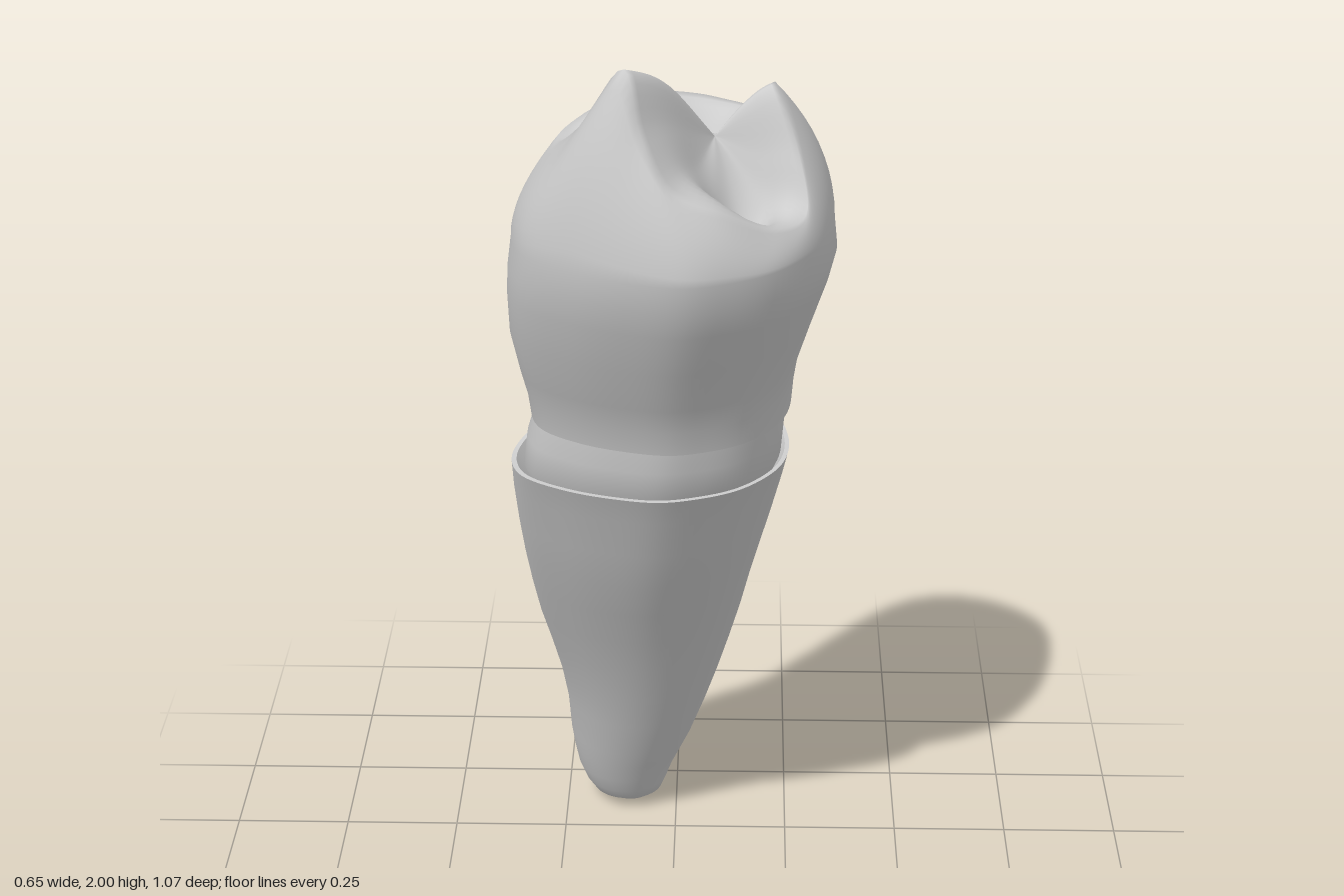
import * as THREE from 'three';

const N = 102; // points around every ring

// Widest crown outline [x, z] and, paired with it, the biting ridge [x, y, z]
const OUTLINE = [
  [-0.188, 0.455], [-0.29, 0.36], [-0.318, 0.25], [-0.295, 0.14], [-0.218, 0.033], [-0.125, -0.08],
  [-0.022, -0.163], [0.09, -0.185], [0.21, -0.145], [0.29, -0.04], [0.325, 0.1], [0.31, 0.25],
  [0.265, 0.36], [0.2, 0.45], [0.12, 0.505], [0.03, 0.535], [-0.08, 0.51],
];
const RIDGE = [
  [-0.08, 2, 0.41], [-0.163, 1.87, 0.335], [-0.21, 1.805, 0.24], [-0.21, 1.8, 0.16], [-0.14, 1.825, 0.075], [-0.045, 1.835, 0.02],
  [0.05, 1.825, 0], [0.12, 1.815, 0.015], [0.17, 1.82, 0.06], [0.2, 1.87, 0.13], [0.2, 1.91, 0.2], [0.245, 1.79, 0.262],
  [0.26, 1.69, 0.32], [0.2, 1.69, 0.4], [0.1, 1.745, 0.468], [0.005, 1.79, 0.487], [-0.05, 1.89, 0.452],
];

function sampleLoop(points) {
  const curve = new THREE.CatmullRomCurve3(points.map((p) => new THREE.Vector3(...p)), true);
  return Array.from({ length: N }, (_, j) => curve.getPoint(j / N));
}
const ridge = sampleLoop(RIDGE);
// Outline scaled to the square from -1 to 1
const unit = sampleLoop(OUTLINE.map(([x, z]) => [(x - 0.005) / 0.32, 0, (z - 0.175) / 0.36]));
const BACK = new THREE.Vector3(-0.15, 0, -0.99);

// Ring filling the box x0..x1, z0..z1; round = 1 turns the outline into an ellipse.
// The ring is lifted by rise at the back, fading towards the front by the given power
function ring([y, x0, x1, z0, z1], round = 0, rise = 0, power = 3) {
  return unit.map((u) => {
    const direction = u.clone().normalize();
    const p = u.clone().lerp(direction, round);
    return new THREE.Vector3(
      (x0 + x1) / 2 + p.x * (x1 - x0) / 2,
      y + rise * Math.max(0, (1 + direction.dot(BACK)) / 2) ** power,
      (z0 + z1) / 2 + p.z * (z1 - z0) / 2);
  });
}

// Skin rings together; a ring listed twice gives a sharp edge
function loft(rings, name, material) {
  const positions = rings.flat().flatMap((p) => [p.x, p.y, p.z]);
  const index = [];
  for (let i = 0; i < rings.length - 1; i++) {
    for (let j = 0; j < N; j++) {
      const a = i * N + j, b = i * N + (j + 1) % N;
      index.push(a, a + N, b, b, a + N, b + N);
    }
  }
  const geometry = new THREE.BufferGeometry();
  geometry.setAttribute('position', new THREE.Float32BufferAttribute(positions, 3));
  geometry.setIndex(index);
  geometry.computeVertexNormals();
  const mesh = new THREE.Mesh(geometry, material);
  mesh.name = name;
  return mesh;
}

function makeRoot(material) {
  const rows = [
    [0, -0.1, -0.1, -0.4, -0.4], [0.008, -0.155, -0.06, -0.445, -0.355], [0.03, -0.19, -0.035, -0.475, -0.32],
    [0.06, -0.21, -0.022, -0.502, -0.298], [0.1, -0.225, -0.008, -0.52, -0.275], [0.15, -0.234, 0.014, -0.53, -0.248],
    [0.2, -0.24, 0.035, -0.535, -0.22], [0.3, -0.245, 0.068, -0.528, -0.168],
    [0.4, -0.257, 0.097, -0.505, -0.115], [0.5, -0.275, 0.122, -0.47, -0.058], [0.6, -0.294, 0.145, -0.43, 0.002],
    [0.7, -0.306, 0.164, -0.388, 0.068], [0.8, -0.315, 0.185, -0.345, 0.133], [0.9, -0.321, 0.207, -0.298, 0.193],
    [1, -0.325, 0.228, -0.25, 0.247], [1.07, -0.325, 0.24, -0.205, 0.291],
  ];
  const rings = rows.map((r) => ring(r,
    THREE.MathUtils.clamp(1 - (r[0] - 0.3) / 0.75, 0.05, 1), 0.135 * (r[0] / 1.07) ** 12, 4));
  // Thin lip turning down into the socket around the neck
  const lip = ring([1.07, -0.315, 0.231, -0.196, 0.28], 0.05, 0.135, 4);
  const inside = ring([1.02, -0.285, 0.2, -0.175, 0.23], 0.05, 0.12, 4);
  const rim = rings[rings.length - 1];
  return loft([...rings, rim, lip, lip, inside], 'root', material);
}

function makeNeck(material) {
  return loft([
    ring([1.0, -0.285, 0.2, -0.195, 0.22], 0, 0.12),
    ring([1.06, -0.3, 0.223, -0.19, 0.266], 0, 0.12),
    ring([1.13, -0.29, 0.228, -0.173, 0.288], 0, 0.12),
    ring([1.23, -0.262, 0.23, -0.15, 0.304], 0, 0.12),
  ], 'neck', material);
}

function makeCrown(material) {
  const rows = [
    [1.185, -0.25, 0.22, -0.14, 0.29], [1.185, -0.28, 0.242, -0.167, 0.318], [1.185, -0.28, 0.242, -0.167, 0.318],
    [1.24, -0.286, 0.246, -0.169, 0.337], [1.3, -0.298, 0.254, -0.171, 0.37], [1.4, -0.314, 0.282, -0.177, 0.432],
    [1.5, -0.315, 0.312, -0.182, 0.488], [1.56, -0.311, 0.325, -0.182, 0.518], [1.62, -0.303, 0.319, -0.176, 0.535],
  ];
  const rings = rows.map((r) => ring(r, 0, 0.13 * Math.max(0, (1.56 - r[0]) / 0.375)));
  // Walls bulging in towards the biting ridge
  const belly = rings[rings.length - 1];
  for (let i = 1; i <= 10; i++) {
    const t = i / 10;
    rings.push(belly.map((p, j) => {
      const q = p.clone().lerp(ridge[j], t ** 1.9);
      q.y = THREE.MathUtils.lerp(p.y, ridge[j].y, t);
      return q;
    }));
  }
  // Chewing surface: rounded cusps sloping to the middle, with a hollow at front and back
  const centre = new THREE.Vector3(0.085, 1.825, 0.225);
  const hollow = (p, x, z, depth, size) =>
    depth * Math.exp(-((p.x - x) ** 2 + (p.z - z) ** 2) / size ** 2);
  for (let i = 1; i <= 14; i++) {
    const t = i / 14;
    rings.push(ridge.map((p) => {
      const q = p.clone().lerp(centre, t);
      q.y += 0.15 * Math.max(0, p.y - 1.8) * Math.sin(Math.PI * t);
      q.y -= Math.min(1, t * 2.5) * (hollow(q, 0.14, 0.335, 0.12, 0.075) + hollow(q, 0.04, 0.1, 0.11, 0.075));
      return q;
    }));
  }
  return loft(rings, 'crown', material);
}

export function createModel() {
  const grey = new THREE.MeshStandardMaterial({ color: 0xcccccc });
  grey.name = 'light grey';
  const tooth = new THREE.Group();
  tooth.name = 'tooth';
  tooth.add(makeRoot(grey), makeNeck(grey), makeCrown(grey));
  return tooth;
}
